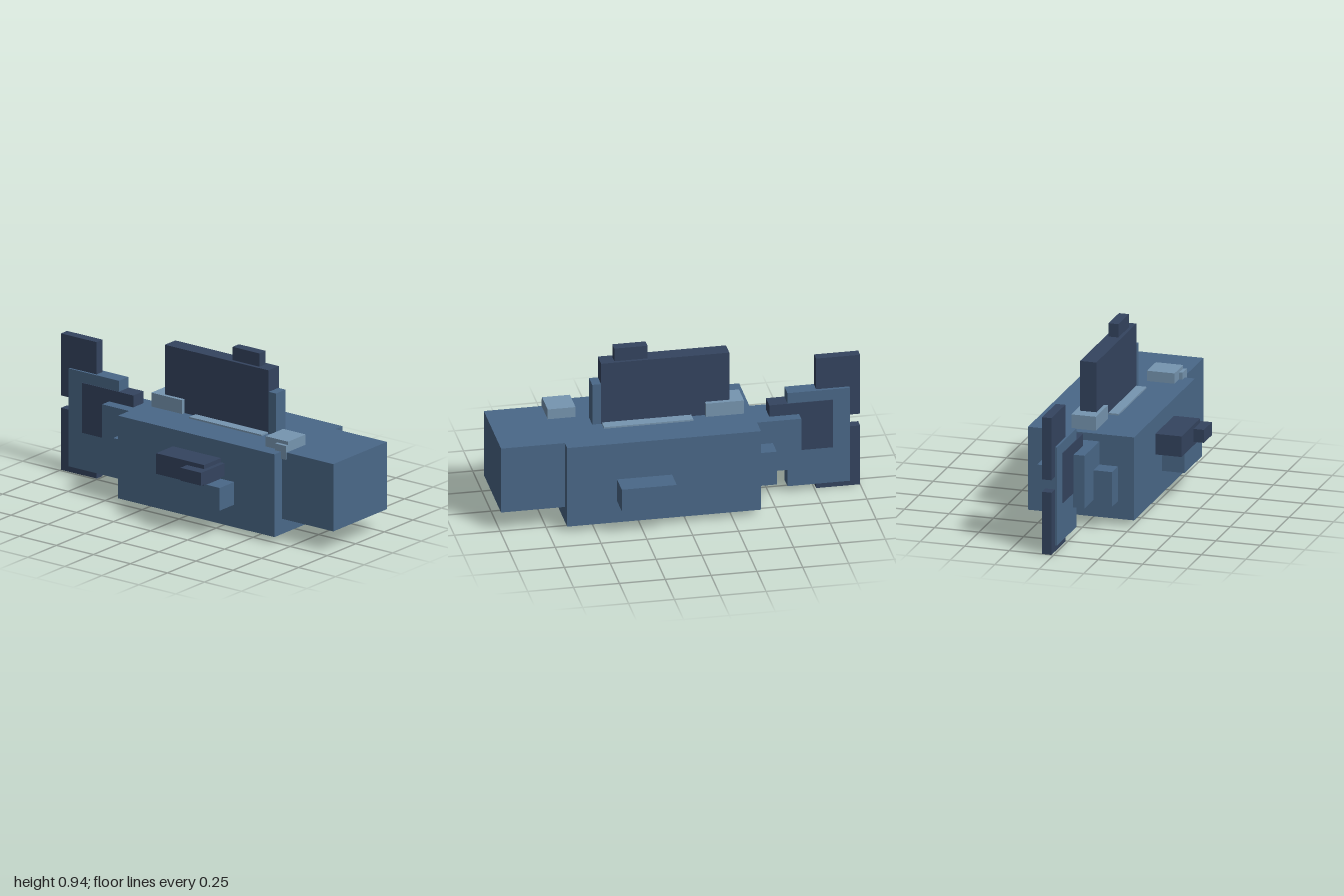
import * as THREE from 'three';

const material = (name, color) => {
  const m = new THREE.MeshStandardMaterial({ color });
  m.name = name;
  return m;
};

export function createModel() {
  const blue = material('steelBlue', 0x4a6888);
  const navy = material('navy', 0x34445f);
  const pale = material('paleBlue', 0x7695b0);
  const model = new THREE.Group();
  model.name = 'blockFish';

  // Box given by its extents along each axis
  const block = (name, mat, [x0, x1], [y0, y1], [z0, z1]) => {
    const mesh = new THREE.Mesh(new THREE.BoxGeometry(x1 - x0, y1 - y0, z1 - z0), mat);
    mesh.position.set((x0 + x1) / 2, (y0 + y1) / 2, (z0 + z1) / 2);
    mesh.name = name;
    model.add(mesh);
  };

  // Trunk and head
  block('body', blue, [-0.405, 0.652], [0.035, 0.502], [-0.336, 0.26]);
  block('head', blue, [0.652, 1], [0.122, 0.502], [-0.273, 0.196]);

  // Tail stalk, tail and its fin lobes
  block('tailStalk', blue, [-0.663, -0.405], [0.163, 0.46], [-0.145, 0.065]);
  block('tail', blue, [-0.94, -0.6], [0.035, 0.588], [-0.083, 0]);
  block('tailPanel', navy, [-0.847, -0.5], [0.245, 0.527], [-0.087, 0.004]);
  for (const [name, y] of [['upperTailLobe', [0.42, 0.77]], ['lowerTailLobe', [0, 0.35]]]) {
    block(name, navy, [-1, -0.76], y, [-0.065, -0.012]);
  }

  // Small rear fins on both sides of the stalk
  for (const [name, z] of [['leftRearFin', [0.065, 0.17]], ['rightRearFin', [-0.252, -0.145]]]) {
    block(name, blue, [-0.508, -0.405], [0.135, 0.33], z);
  }

  // Dorsal fin
  block('dorsalFin', navy, [-0.283, 0.416], [0.49, 0.86], [-0.083, 0.008]);
  block('dorsalTip', navy, [0.16, 0.341], [0.86, 0.935], [-0.066, -0.011]);
  block('dorsalFrontEdge', blue, [0.416, 0.464], [0.49, 0.738], [-0.08, 0.005]);

  // Pale back details
  block('backPlate', pale, [-0.075, 0.412], [0.495, 0.511], [-0.143, 0.065]);
  block('backBump', pale, [-0.358, -0.15], [0.49, 0.58], [-0.108, 0.03]);
  block('browPlate', pale, [0.533, 0.685], [0.502, 0.56], [0.03, 0.184]);
  block('browDrop', pale, [0.612, 0.685], [0.463, 0.541], [0.184, 0.204]);

  // Side fins
  block('leftSideFin', blue, [0.08, 0.38], [0.162, 0.29], [0.25, 0.387]);
  block('rightSideFin', blue, [0.08, 0.38], [0.162, 0.29], [-0.465, -0.33]);
  block('sideFlap', navy, [-0.034, 0.29], [0.29, 0.406], [0.25, 0.407]);
  block('sideFlapTip', navy, [0.175, 0.315], [0.31, 0.383], [0.25, 0.465]);

  return model;
}
